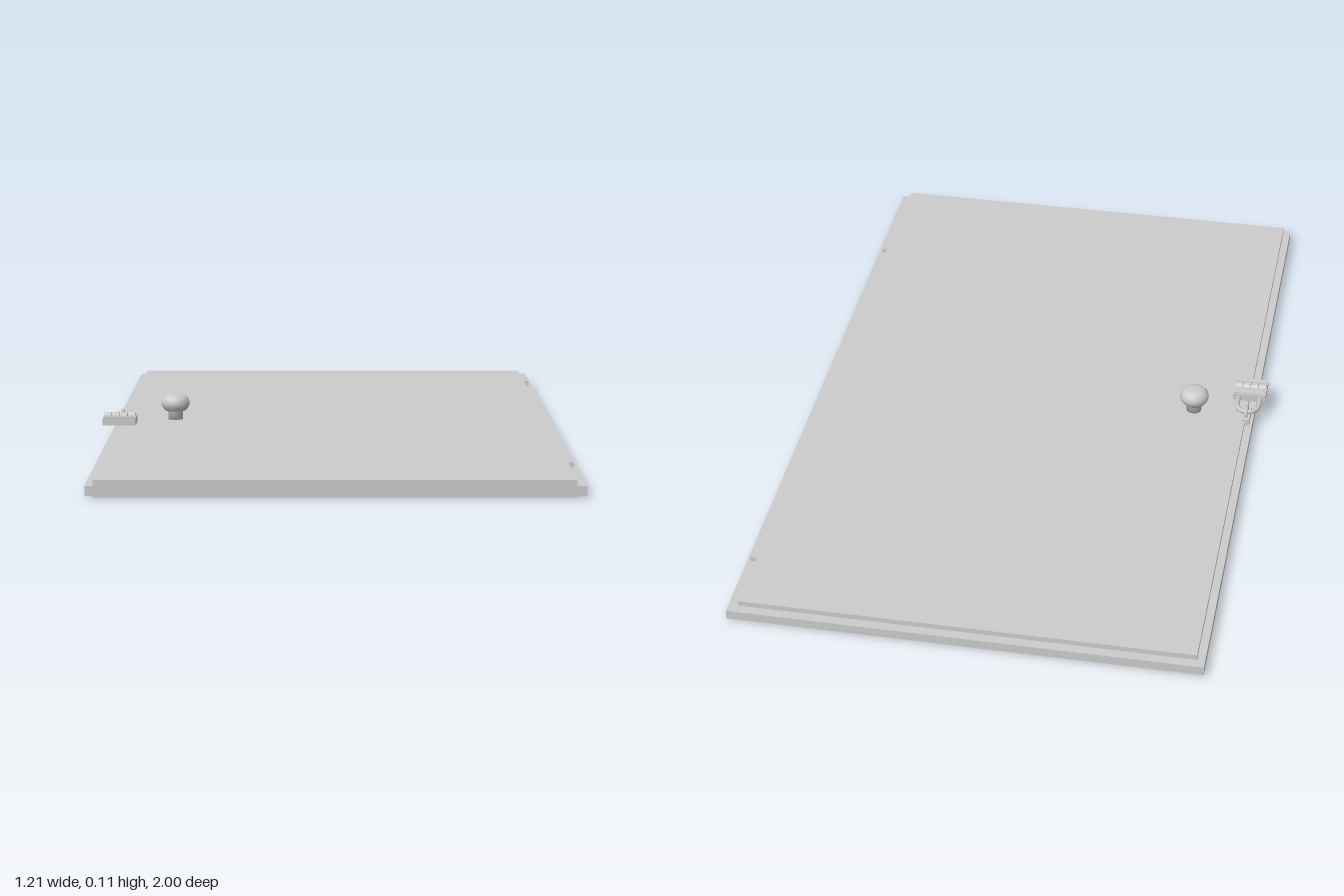
import * as THREE from 'three';

const grey = new THREE.MeshStandardMaterial({ color: 0xcccccc });
const flat = new THREE.MeshStandardMaterial({ color: 0xcccccc, flatShading: true });

function add(parent, name, geometry, material = grey) {
  const mesh = new THREE.Mesh(geometry, material);
  mesh.name = name;
  parent.add(mesh);
  return mesh;
}

// Box given by its minimum and maximum on each axis
function box(parent, name, [x0, x1], [y0, y1], [z0, z1]) {
  const mesh = add(parent, name, new THREE.BoxGeometry(x1 - x0, y1 - y0, z1 - z0));
  mesh.position.set((x0 + x1) / 2, (y0 + y1) / 2, (z0 + z1) / 2);
  return mesh;
}

function createPadlock() {
  const lock = new THREE.Group();
  lock.name = 'padlock';
  const cx = -0.563;

  // Body with stepped top
  box(lock, 'lockBody', [-0.607, -0.519], [0.045, 0.065], [0.09, 0.168]);
  for (const [z0, z1] of [[0.094, 0.112], [0.148, 0.164]])
    box(lock, 'lockRib', [-0.603, -0.523], [0.064, 0.068], [z0, z1]);

  // Row of combination dials
  for (let i = 0; i < 4; i++) {
    const dial = add(lock, 'dial', new THREE.CylinderGeometry(0.015, 0.015, 0.019, 10), flat);
    dial.rotation.z = Math.PI / 2;
    dial.position.set(cx + (i - 1.5) * 0.021, 0.061, 0.13);
  }

  // Shackle bent from round bar
  const r = 0.029;
  const path = new THREE.CurvePath();
  const arc = [];
  for (let i = 0; i <= 10; i++) {
    const a = Math.PI * i / 10;
    arc.push(new THREE.Vector3(cx - r * Math.cos(a), 0.055, 0.055 - r * Math.sin(a)));
  }
  path.add(new THREE.LineCurve3(new THREE.Vector3(cx - r, 0.055, 0.095), arc[0]));
  path.add(new THREE.CatmullRomCurve3(arc));
  path.add(new THREE.LineCurve3(arc[10], new THREE.Vector3(cx + r, 0.055, 0.095)));
  add(lock, 'shackle', new THREE.TubeGeometry(path, 28, 0.0065, 8));
  return lock;
}

function createHasp() {
  const hasp = new THREE.Group();
  hasp.name = 'hasp';
  // Mounting plate and upright eye through which the shackle passes
  box(hasp, 'haspPlate', [-0.574, -0.552], [0.026, 0.046], [0.0, 0.064]);
  const eye = add(hasp, 'haspEye', new THREE.TorusGeometry(0.016, 0.005, 6, 16));
  eye.rotation.y = Math.PI / 2;
  eye.position.set(-0.563, 0.049, 0.03);
  return hasp;
}

export function createModel() {
  const door = new THREE.Group();
  door.name = 'door';

  // Slab, slightly proud of the frame above and below
  box(door, 'doorPanel', [-0.562, 0.58], [0, 0.042], [-0.975, 1]);

  // Frame on the two long sides and the head
  const frameY = [0.004, 0.028];
  box(door, 'frameRight', [-0.582, -0.562], frameY, [-1, 1]);
  box(door, 'frameLeft', [0.58, 0.604], frameY, [-1, 1]);
  box(door, 'frameHead', [-0.562, 0.58], frameY, [-1, -0.975]);

  // Hinges
  for (const z of [-0.767, 0.708])
    box(door, 'hinge', [0.575, 0.595], [0.02, 0.041], [z - 0.033, z + 0.033]);

  // Knob and stem, turned in one piece
  const profile = [
    [0, 0.038], [0.02, 0.038], [0.02, 0.064], [0.028, 0.066], [0.036, 0.076],
    [0.039, 0.086], [0.036, 0.098], [0.027, 0.107], [0.014, 0.11], [0, 0.11],
  ].map(([x, y]) => new THREE.Vector2(x, y));
  const knob = add(door, 'knob', new THREE.LatheGeometry(profile, 20));
  knob.position.set(-0.42, 0, 0.03);

  door.add(createHasp(), createPadlock());
  door.position.x = 0.0015;
  return door;
}
